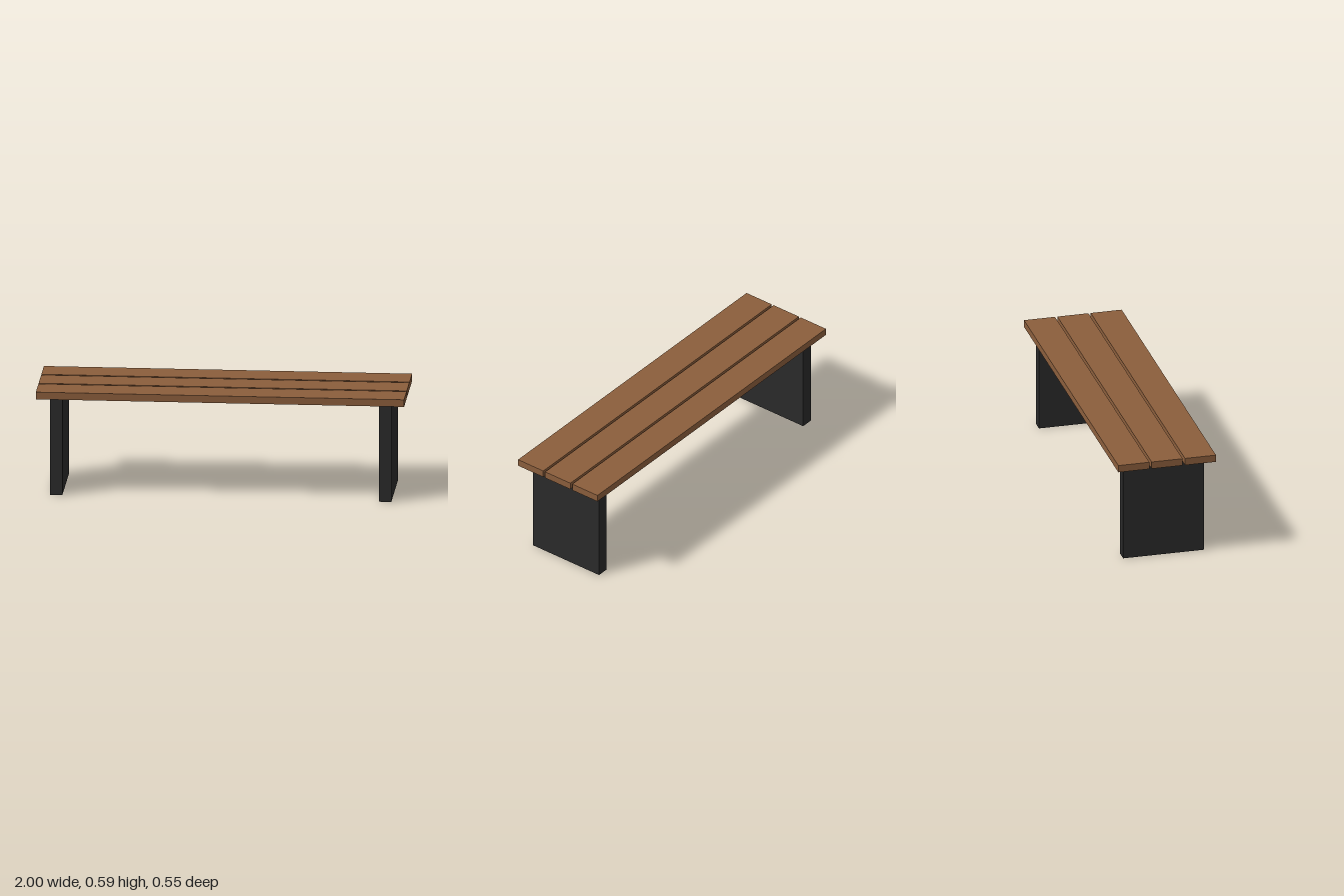
import * as THREE from 'three';

const wood = new THREE.MeshStandardMaterial({ color: 0x8b5e3c });
const darkMetal = new THREE.MeshStandardMaterial({ color: 0x2a2a2a });

const LEG_HEIGHT = 0.5467;
const SLAT_THICKNESS = 0.04;

function addBox(parent, name, size, position, material) {
  const mesh = new THREE.Mesh(new THREE.BoxGeometry(...size), material);
  mesh.name = name;
  mesh.position.set(...position);
  parent.add(mesh);
}

export function createModel() {
  const bench = new THREE.Group();
  bench.name = 'bench';

  // Three seat slats with narrow gaps between them
  ['backSlat', 'middleSlat', 'frontSlat'].forEach((name, i) => {
    addBox(bench, name, [2, SLAT_THICKNESS, 0.1733],
      [0, LEG_HEIGHT + SLAT_THICKNESS / 2, (i - 1) * 0.1867], wood);
  });

  // Solid panel leg near each end
  for (const side of [-1, 1]) {
    addBox(bench, side > 0 ? 'leftLeg' : 'rightLeg', [0.0667, LEG_HEIGHT, 0.4533],
      [side * 0.8933, LEG_HEIGHT / 2, 0], darkMetal);
  }

  return bench;
}
